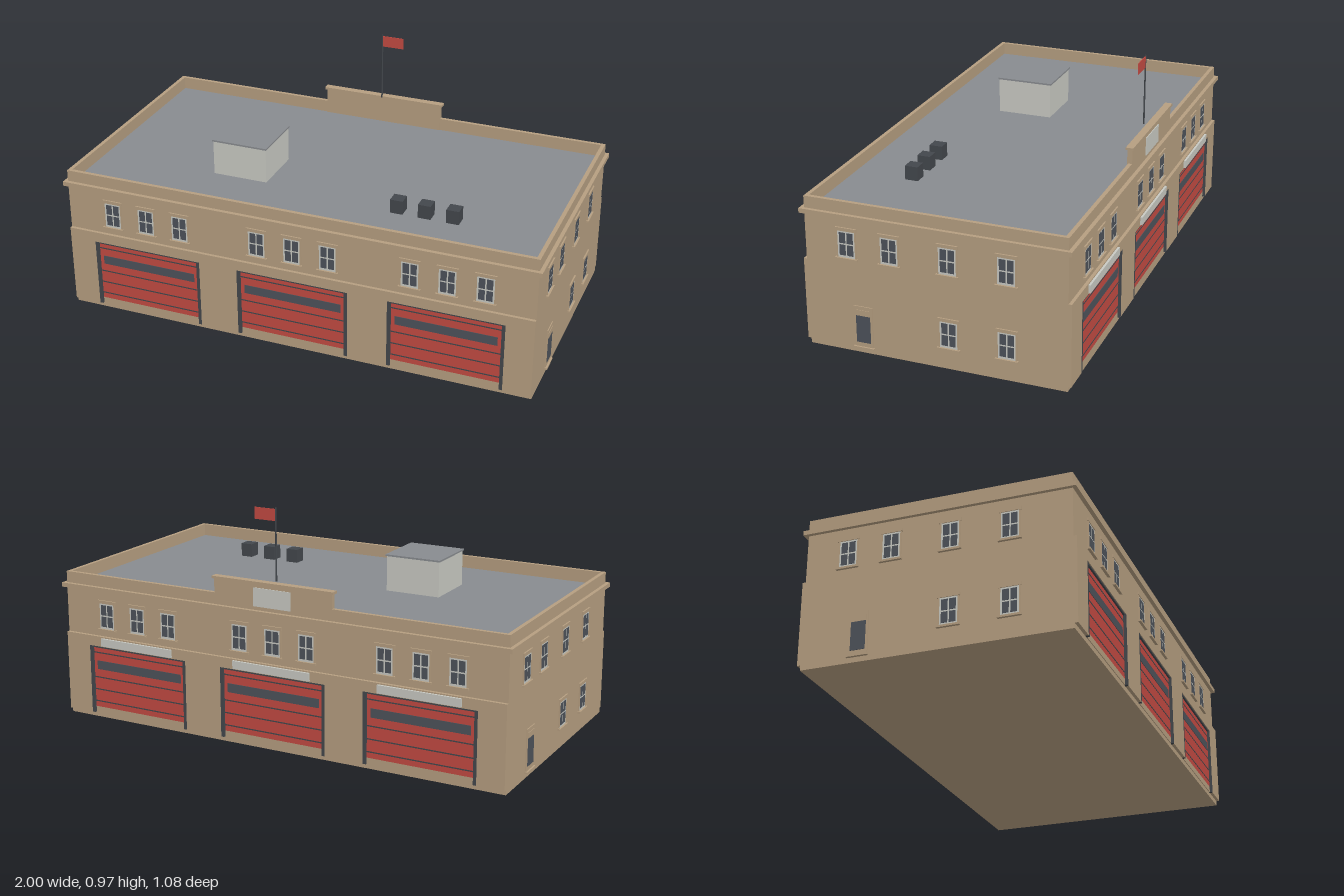
import * as THREE from 'three';

const mat = (name, color) => {
  const m = new THREE.MeshStandardMaterial({ color });
  m.name = name;
  return m;
};
const M = {
  stone: mat('tan stone', 0xb59e80),
  roof: mat('roof grey', 0x888b8f),
  red: mat('door red', 0xc24a42),
  glass: mat('dark glass', 0x4d525a),
  frame: mat('pale frame', 0xc8c9c2),
  iron: mat('dark iron', 0x43474c),
};

// Half width and half depth of the main walls
const W = 0.985, D = 0.52;
const BAYS = [-0.636, 0, 0.636];

// Box given by its min and max on each axis
function box(parent, name, material, x0, x1, y0, y1, z0, z1) {
  const mesh = new THREE.Mesh(new THREE.BoxGeometry(x1 - x0, y1 - y0, z1 - z0), material);
  mesh.position.set((x0 + x1) / 2, (y0 + y1) / 2, (z0 + z1) / 2);
  mesh.name = name;
  parent.add(mesh);
  return mesh;
}

function group(parent, name, x = 0, y = 0, z = 0, turn = 0) {
  const g = new THREE.Group();
  g.name = name;
  g.position.set(x, y, z);
  g.rotation.y = turn;
  parent.add(g);
  return g;
}

// Rectangular ring lying flat, from y0 to y1
function ring(parent, name, material, hw, hd, iw, id, y0, y1) {
  const rect = (C, a, b) => {
    const s = new C();
    s.moveTo(-a, -b); s.lineTo(a, -b); s.lineTo(a, b); s.lineTo(-a, b); s.closePath();
    return s;
  };
  const shape = rect(THREE.Shape, hw, hd);
  shape.holes.push(rect(THREE.Path, iw, id));
  const geo = new THREE.ExtrudeGeometry(shape, { depth: y1 - y0, bevelEnabled: false });
  geo.rotateX(-Math.PI / 2);
  const mesh = new THREE.Mesh(geo, material);
  mesh.position.y = y0;
  mesh.name = name;
  parent.add(mesh);
}

// Four-pane window with lintel and sill; y is the bottom of the frame
function sashWindow(parent, x, y) {
  const g = group(parent, 'window', x, y, 0);
  const h = 0.108;
  box(g, 'windowFrame', M.frame, -0.035, 0.035, 0, h, 0, 0.003);
  for (const sx of [-1, 1]) {
    for (const cy of [0.0305, 0.0795]) {
      box(g, 'pane', M.glass, sx * 0.0155 - 0.0125, sx * 0.0155 + 0.0125, cy - 0.0215, cy + 0.0215, 0.002, 0.004);
    }
    box(g, 'windowJamb', M.stone, sx * 0.0375 - 0.0025, sx * 0.0375 + 0.0025, 0, h, 0, 0.005);
  }
  box(g, 'lintel', M.stone, -0.043, 0.043, h, h + 0.013, 0, 0.006);
  box(g, 'sill', M.stone, -0.045, 0.045, -0.008, 0, 0, 0.011);
}

// Sectional garage door with dark jambs, set inside the wall opening
function garageDoor(parent, x) {
  const g = group(parent, 'garageDoor', x);
  box(g, 'doorPanel', M.red, -0.223, 0.223, 0.045, 0.306, 0, 0.003);
  box(g, 'threshold', M.stone, -0.223, 0.223, 0.02, 0.045, 0, 0.003);
  for (const y of [0.282, 0.175, 0.122, 0.07]) {
    box(g, 'doorGroove', M.iron, -0.223, 0.223, y - 0.0025, y + 0.0025, 0.002, 0.004);
  }
  box(g, 'doorWindow', M.glass, -0.206, 0.206, 0.21, 0.247, 0.002, 0.005);
  for (const s of [-1, 1]) {
    box(g, 'doorJamb', M.iron, s * 0.229 - 0.007, s * 0.229 + 0.007, 0.02, 0.312, 0, 0.012);
  }
  box(g, 'doorHead', M.iron, -0.222, 0.222, 0.305, 0.312, 0, 0.01);
}

// Long facade with three garage bays and nine windows
function facade(parent, name) {
  const g = group(parent, name);
  const s = new THREE.Shape();
  s.moveTo(-W, 0.02);
  for (const x of BAYS) {
    s.lineTo(x - 0.236, 0.02); s.lineTo(x - 0.236, 0.312);
    s.lineTo(x + 0.236, 0.312); s.lineTo(x + 0.236, 0.02);
  }
  s.lineTo(W, 0.02); s.lineTo(W, 0.355); s.lineTo(-W, 0.355); s.closePath();
  const wall = new THREE.Mesh(new THREE.ExtrudeGeometry(s, { depth: 0.013, bevelEnabled: false }), M.stone);
  wall.name = 'garageWall';
  g.add(wall);
  for (const x of BAYS) {
    garageDoor(g, x);
    for (const dx of [-0.15, 0, 0.15]) sashWindow(g, x + dx, 0.388);
  }
  return g;
}

// Short side with a door and two rows of windows
function sideWall(parent, name) {
  const g = group(parent, name);
  for (const x of [-0.35, -0.177, 0.055, 0.285]) sashWindow(g, x, 0.388);
  for (const x of [0.055, 0.285]) sashWindow(g, x, 0.088);
  const d = group(g, 'sideDoor', -0.293);
  box(d, 'doorSurround', M.stone, -0.038, 0.038, 0.027, 0.195, 0, 0.004);
  box(d, 'doorTransom', M.stone, -0.03, 0.03, 0.157, 0.18, 0.003, 0.006);
  box(d, 'doorGlass', M.glass, -0.029, 0.029, 0.045, 0.157, 0.003, 0.006);
  box(d, 'doorStep', M.stone, -0.042, 0.042, 0.02, 0.027, 0, 0.011);
  return g;
}

export function createModel() {
  const root = new THREE.Group();
  root.name = 'garageBuilding';
  const b = group(root, 'building', 0, 0, 0.003);

  // Main block, roof deck, cornice and parapet
  box(b, 'walls', M.stone, -W, W, 0, 0.555, -D, D);
  box(b, 'roofDeck', M.roof, -0.97, 0.97, 0.553, 0.56, -0.505, 0.505);
  ring(b, 'cornice', M.stone, 1, 0.536, W - 0.005, D - 0.005, 0.547, 0.565);
  ring(b, 'parapet', M.stone, W, D, 0.969, 0.504, 0.55, 0.612);

  // Facades and sides
  facade(b, 'frontFacade').position.z = D;
  const back = facade(b, 'backFacade');
  back.position.z = -D;
  back.rotation.y = Math.PI;
  for (const x of BAYS) box(back, 'signBoard', M.frame, x - 0.172, x + 0.172, 0.317, 0.35, 0.013, 0.022);
  for (const s of [-1, 1]) {
    const side = sideWall(b, s > 0 ? 'leftSide' : 'rightSide');
    side.position.x = s * W;
    side.rotation.y = s * Math.PI / 2;
  }

  // Raised back parapet with a plaque
  box(b, 'raisedParapet', M.stone, -0.262, 0.262, 0.56, 0.67, -D - 0.0005, -0.5);
  box(b, 'raisedParapetCap', M.stone, -0.27, 0.27, 0.67, 0.68, -0.526, -0.495);
  box(b, 'plaque', M.frame, -0.083, 0.083, 0.58, 0.655, -0.524, -D);

  // Flag
  const f = group(b, 'flag', 0, 0, -0.485);
  const pole = new THREE.Mesh(new THREE.CylinderGeometry(0.003, 0.0035, 0.29, 8), M.iron);
  pole.position.y = 0.825;
  pole.name = 'flagPole';
  f.add(pole);
  box(f, 'flagCloth', M.red, 0.002, 0.094, 0.918, 0.965, -0.0015, 0.0015);

  // Rooftop hut and vents
  box(b, 'roofHut', M.frame, -0.466, -0.234, 0.56, 0.705, 0.001, 0.231);
  box(b, 'roofHutCap', M.roof, -0.47, -0.23, 0.705, 0.712, -0.004, 0.235);
  for (const x of [0.345, 0.46, 0.575]) {
    box(b, 'roofVent', M.iron, x - 0.026, x + 0.026, 0.56, 0.617, 0.235, 0.288);
  }
  return root;
}
